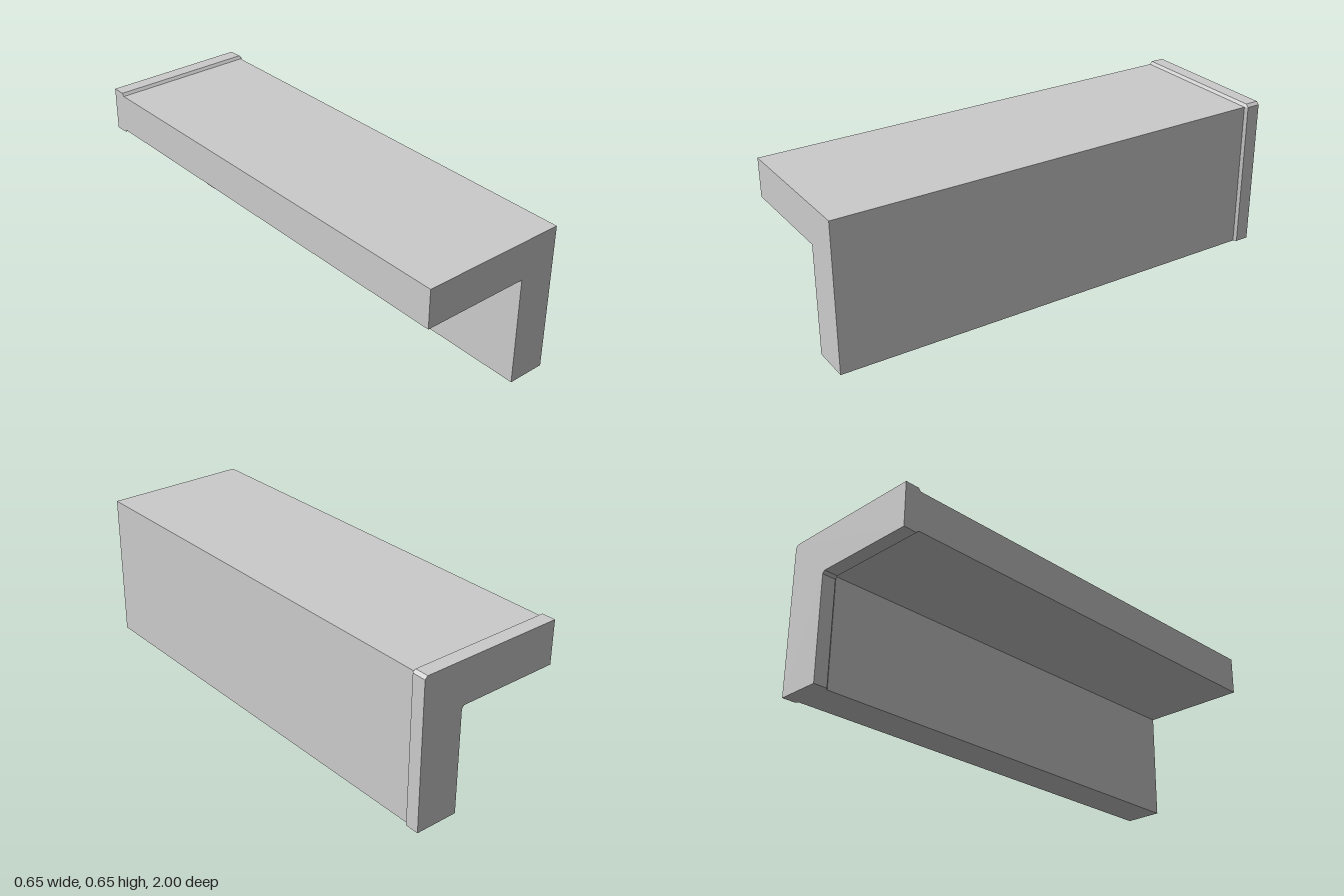
import * as THREE from 'three';

// Matching outlines: plain L section, and the slightly larger lip with clipped corners
const BODY = [[-0.325, 0.473], [0.147, 0.473], [0.147, 0.473], [0.147, 0], [0.313, 0], [0.313, 0.64], [0.313, 0.64], [-0.325, 0.64]];
const LIP = [[-0.325, 0.463], [0.125, 0.463], [0.136, 0.452], [0.136, 0], [0.325, 0], [0.325, 0.64], [0.313, 0.652], [-0.325, 0.652]];

function extrude(outline, z0, z1) {
  const shape = new THREE.Shape(outline.map(([x, y]) => new THREE.Vector2(x, y)));
  const geometry = new THREE.ExtrudeGeometry(shape, { depth: z1 - z0, bevelEnabled: false });
  return geometry.translate(0, 0, z0);
}

export function createModel() {
  const group = new THREE.Group();
  group.name = 'angleBeam';
  const material = new THREE.MeshStandardMaterial({ color: 0xcccccc, flatShading: true });
  const add = (name, geometry) => {
    const mesh = new THREE.Mesh(geometry, material);
    mesh.name = name;
    group.add(mesh);
  };

  // Long L-shaped beam
  const body = BODY.filter((p, i) => i !== 2 && i !== 6);
  add('beam', extrude(body, -0.93, 1));

  // Raised lip around the back end
  add('endLip', extrude(LIP, -1, -0.94));

  // Sloped step: front corners of a lip slice are pulled in to the beam outline
  const step = extrude(LIP, -0.94, -0.93);
  const pos = step.attributes.position;
  for (let i = 0; i < pos.count; i++) {
    if (pos.getZ(i) < -0.935) continue;
    const k = LIP.findIndex(([x, y]) => Math.hypot(x - pos.getX(i), y - pos.getY(i)) < 1e-4);
    pos.setXY(i, ...BODY[k]);
  }
  step.computeVertexNormals();
  add('lipSlope', step);

  return group;
}
